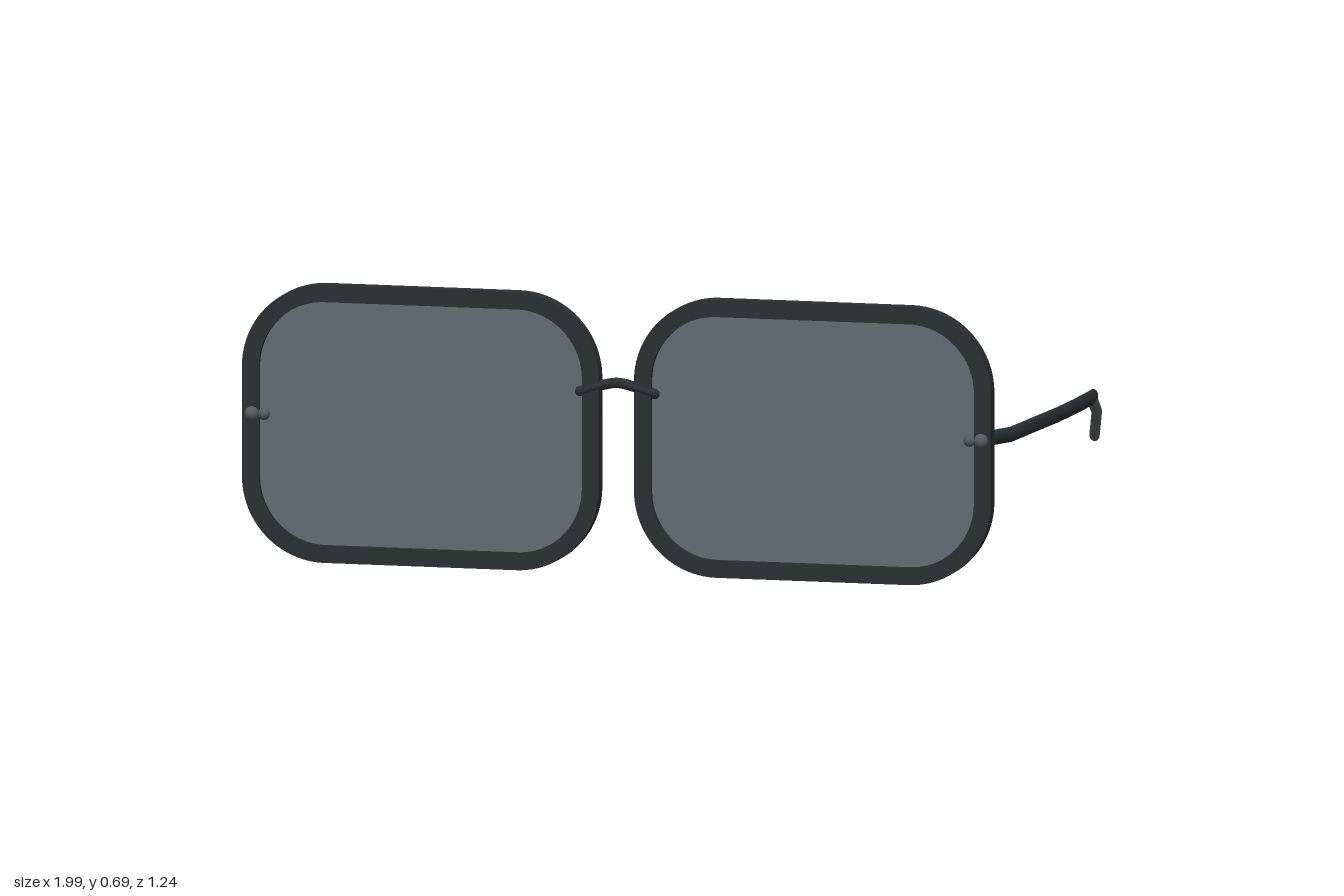
import * as THREE from 'three';
import { toCreasedNormals } from 'three/addons/utils/BufferGeometryUtils.js';

const paint = (color) => new THREE.MeshStandardMaterial({ color });
const MAT = {
  frame: paint(0x2b2f33),
  lens: paint(0x646b72),
  tip: paint(0x5c6466),
  screw: paint(0x555a5e),
  pad: paint(0xbab7aa),
};
const v = (p) => new THREE.Vector3(...p);

function add(parent, name, geometry, material, position = [0, 0, 0]) {
  const mesh = new THREE.Mesh(geometry, material);
  mesh.name = name;
  mesh.position.set(...position);
  parent.add(mesh);
  return mesh;
}

// Rounded rectangle centred on the origin
function roundedRect(w, h, r, Type = THREE.Shape) {
  const s = new Type();
  const x = w / 2 - r, y = h / 2 - r;
  s.absarc(x, y, r, 0, Math.PI / 2);
  s.absarc(-x, y, r, Math.PI / 2, Math.PI);
  s.absarc(-x, -y, r, Math.PI, Math.PI * 1.5);
  s.absarc(x, -y, r, Math.PI * 1.5, Math.PI * 2);
  s.closePath();
  return s;
}

function plate(shape, depth) {
  const g = new THREE.ExtrudeGeometry(shape, { depth, bevelEnabled: false, curveSegments: 14 });
  g.translate(0, 0, -depth / 2);
  return toCreasedNormals(g, 0.6);
}

// Elliptical bar with mitred bends; rx is sideways, ry is upright
function bar(points, rx, ry, sides = 14) {
  const pts = points.map(v), pos = [], index = [], n = pts.length;
  pts.forEach((p, i) => {
    const t = pts[Math.min(i + 1, n - 1)].clone().sub(pts[Math.max(i - 1, 0)]).normalize();
    const side = new THREE.Vector3(0, 1, 0).cross(t).normalize();
    const up = t.clone().cross(side);
    for (let j = 0; j < sides; j++) {
      const a = (j / sides) * Math.PI * 2;
      const q = p.clone().addScaledVector(side, Math.cos(a) * rx).addScaledVector(up, Math.sin(a) * ry);
      pos.push(q.x, q.y, q.z);
    }
  });
  for (let i = 0; i < n - 1; i++) {
    for (let j = 0; j < sides; j++) {
      const k = (j + 1) % sides;
      const a = i * sides + j, b = i * sides + k, c = a + sides, d = b + sides;
      index.push(a, b, d, a, d, c);
    }
  }
  // End caps
  const last = (n - 1) * sides;
  for (let j = 1; j < sides - 1; j++) index.push(0, j + 1, j, last, last + j, last + j + 1);
  const g = new THREE.BufferGeometry();
  g.setAttribute('position', new THREE.Float32BufferAttribute(pos, 3));
  g.setIndex(index);
  return toCreasedNormals(g, 0.8);
}

function wire(points, r, segments = 24) {
  return new THREE.TubeGeometry(new THREE.CatmullRomCurve3(points.map(v)), segments, r, 10);
}

export function createModel() {
  const model = new THREE.Group();
  model.name = 'glasses';

  // Rim and lens shapes shared by both sides
  const rimShape = roundedRect(0.91, 0.695, 0.21);
  rimShape.holes.push(roundedRect(0.824, 0.609, 0.167, THREE.Path));
  const rimGeo = plate(rimShape, 0.037);
  const lensGeo = plate(roundedRect(0.836, 0.621, 0.173), 0.01);

  for (const s of [1, -1]) {
    const half = new THREE.Group();
    half.name = s > 0 ? 'leftSide' : 'rightSide';
    model.add(half);
    const m = ([x, y, z]) => [s * x, y, z];

    add(half, 'rim', rimGeo, MAT.frame, m([0.5, 0.348, 0.585]));
    add(half, 'lens', lensGeo, MAT.lens, m([0.5, 0.348, 0.585]));

    // Hinge rivets on the front
    const rivet = new THREE.SphereGeometry(0.019, 16, 12);
    add(half, 'outerRivet', rivet, MAT.screw, m([0.93, 0.367, 0.6]));
    add(half, 'innerRivet', rivet, MAT.screw, m([0.9, 0.367, 0.6])).scale.setScalar(0.8);

    // Temple arm, bending back from the hinge
    add(half, 'temple', bar([
      [0.922, 0.367, 0.578], [0.97, 0.365, 0.46], [0.978, 0.36, 0.25], [0.984, 0.354, 0.05],
      [0.984, 0.349, -0.13], [0.977, 0.343, -0.26], [0.966, 0.336, -0.385],
    ].map(m), 0.012, 0.019), MAT.frame);

    // Ear tip, dropping down and curving in
    add(half, 'earTip', bar([
      [0.967, 0.335, -0.36], [0.96, 0.316, -0.41], [0.944, 0.28, -0.505], [0.912, 0.205, -0.608],
    ].map(m), 0.013, 0.018), MAT.tip);

    // Nose pad on its bent wire
    add(half, 'padWire', wire([
      [0.072, 0.45, 0.58], [0.084, 0.42, 0.56], [0.098, 0.38, 0.535], [0.114, 0.35, 0.52],
    ].map(m), 0.006), MAT.screw);
    add(half, 'nosePad', new THREE.SphereGeometry(1, 20, 16), MAT.pad, m([0.114, 0.349, 0.516]))
      .scale.set(0.03, 0.058, 0.014);
  }

  // Arched bridge lapping onto both rims
  add(model, 'bridge', wire([
    [-0.095, 0.453, 0.593], [-0.05, 0.467, 0.593], [0, 0.477, 0.593], [0.05, 0.467, 0.593], [0.095, 0.453, 0.593],
  ], 0.013, 32), MAT.frame);
  for (const s of [1, -1]) {
    add(model, 'bridgeEnd', new THREE.SphereGeometry(0.013, 12, 10), MAT.frame, [s * 0.095, 0.453, 0.593]);
  }
  return model;
}
